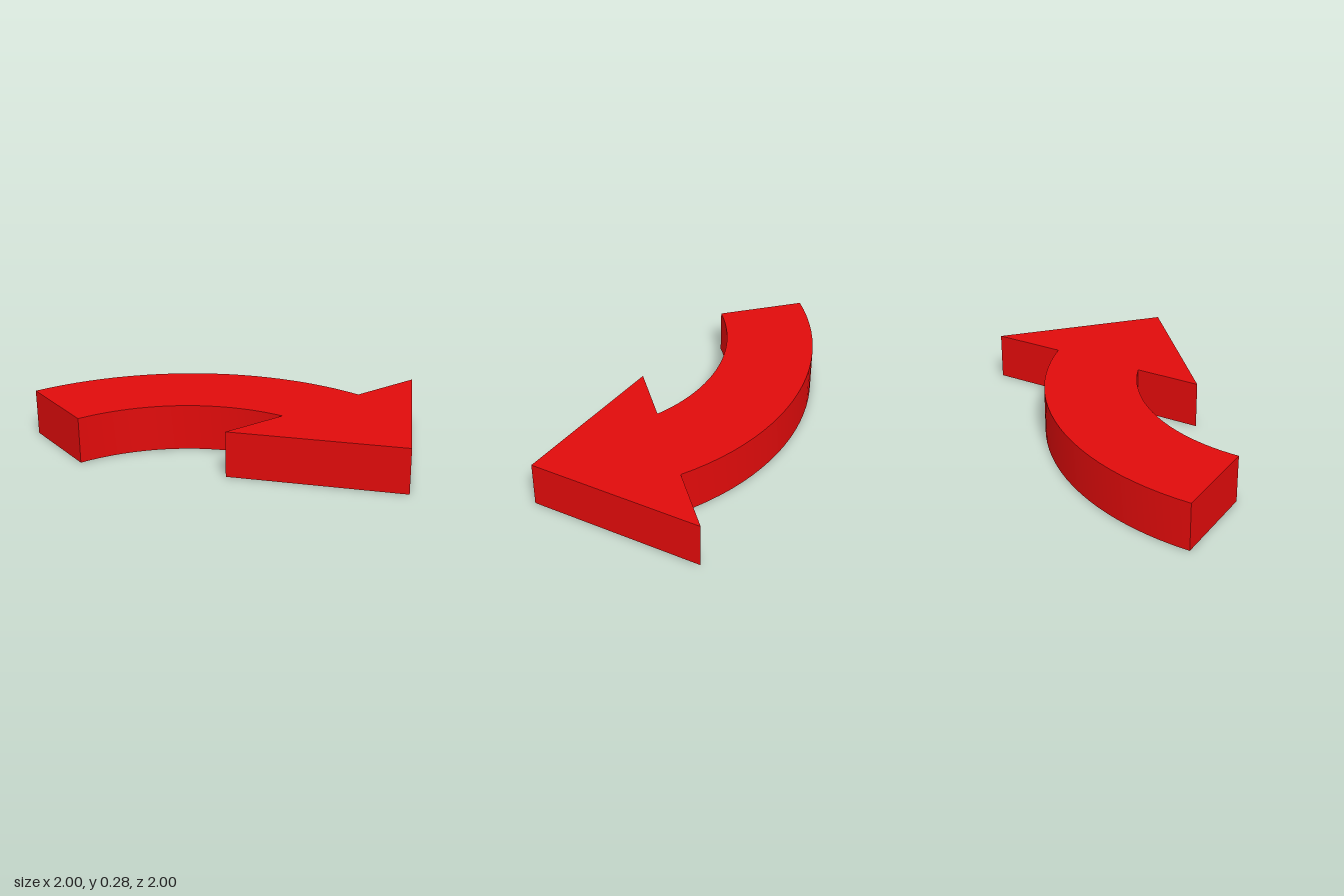
import * as THREE from 'three';
import { toCreasedNormals } from 'three/addons/utils/BufferGeometryUtils.js';

const HEIGHT = 0.28;
const CENTRE = { x: 0.61, y: -1 }; // shared centre of both bends (shape y = -z)
const OUTER = 1.61, INNER = 1.06;
const NECK_X = 0.21; // where the shaft meets the head

// Angle at which a bend of the given radius reaches the neck
const neckAngle = (radius) => Math.acos((NECK_X - CENTRE.x) / radius);

export function createModel() {
  const group = new THREE.Group();
  group.name = 'curvedArrow';

  // Outline: outer bend, arrowhead, inner bend back to the tail
  const outline = new THREE.Shape();
  outline.moveTo(CENTRE.x - OUTER, CENTRE.y);
  outline.absarc(CENTRE.x, CENTRE.y, OUTER, Math.PI, neckAngle(OUTER), true);
  outline.lineTo(NECK_X, 1);
  outline.lineTo(1, 0.275);
  outline.lineTo(NECK_X, -0.42);
  outline.absarc(CENTRE.x, CENTRE.y, INNER, neckAngle(INNER), Math.PI, false);
  outline.closePath();

  // Flat slab, laid down, with smooth bends and crisp corners
  const slab = new THREE.ExtrudeGeometry(outline, {
    depth: HEIGHT, steps: 2, bevelEnabled: false, curveSegments: 12,
  });
  slab.rotateX(-Math.PI / 2);

  const arrow = new THREE.Mesh(
    toCreasedNormals(slab, Math.PI / 9),
    new THREE.MeshStandardMaterial({ color: 0xe00b0b }),
  );
  arrow.name = 'arrow';
  group.add(arrow);
  return group;
}
